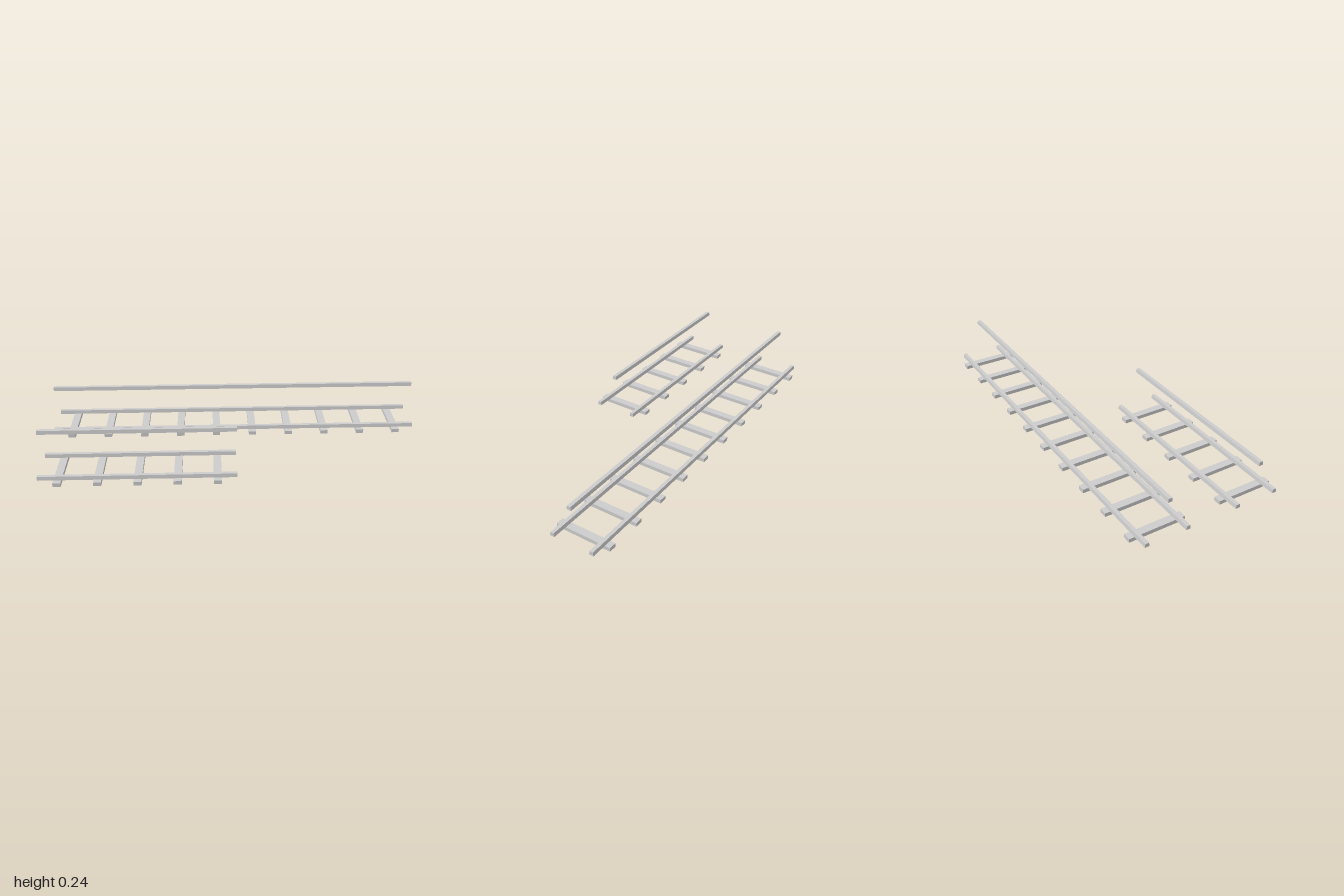
import * as THREE from 'three';

const material = new THREE.MeshStandardMaterial({ color: 0xcccccc, flatShading: true });

// Rail with a slightly tapered section, running along +x from the origin
function railGeometry(length) {
  const section = new THREE.Shape([
    new THREE.Vector2(-0.012, 0),
    new THREE.Vector2(0.012, 0),
    new THREE.Vector2(0.0095, 0.02),
    new THREE.Vector2(-0.0095, 0.02),
  ]);
  return new THREE.ExtrudeGeometry(section, { depth: length, bevelEnabled: false }).rotateY(Math.PI / 2);
}

// One straight track starting at x = -1, centred on the given z
function buildTrack(name, length, z) {
  const track = new THREE.Group();
  track.name = name;
  track.position.set(-1, 0, z);

  const add = (geometry, partName, x, y, dz) => {
    const mesh = new THREE.Mesh(geometry, material);
    mesh.name = partName;
    mesh.position.set(x, y, dz);
    track.add(mesh);
  };

  // Sleepers
  const sleeper = new THREE.BoxGeometry(0.04, 0.02, 0.3);
  const count = Math.round(length / 0.2);
  for (let i = 0; i < count; i++) add(sleeper, 'sleeper', 0.1 + i * 0.2, 0.01, 0);

  // Two running rails and the raised overhead rail
  const rail = railGeometry(length);
  add(rail, 'frontRail', 0, 0.02, 0.11);
  add(rail, 'backRail', 0, 0.02, -0.11);
  add(rail, 'overheadRail', 0, 0.22, 0);
  return track;
}

export function createModel() {
  const model = new THREE.Group();
  model.name = 'railwayTracks';
  model.add(buildTrack('longTrack', 2, -0.25));
  model.add(buildTrack('shortTrack', 1, 0.25));
  return model;
}
